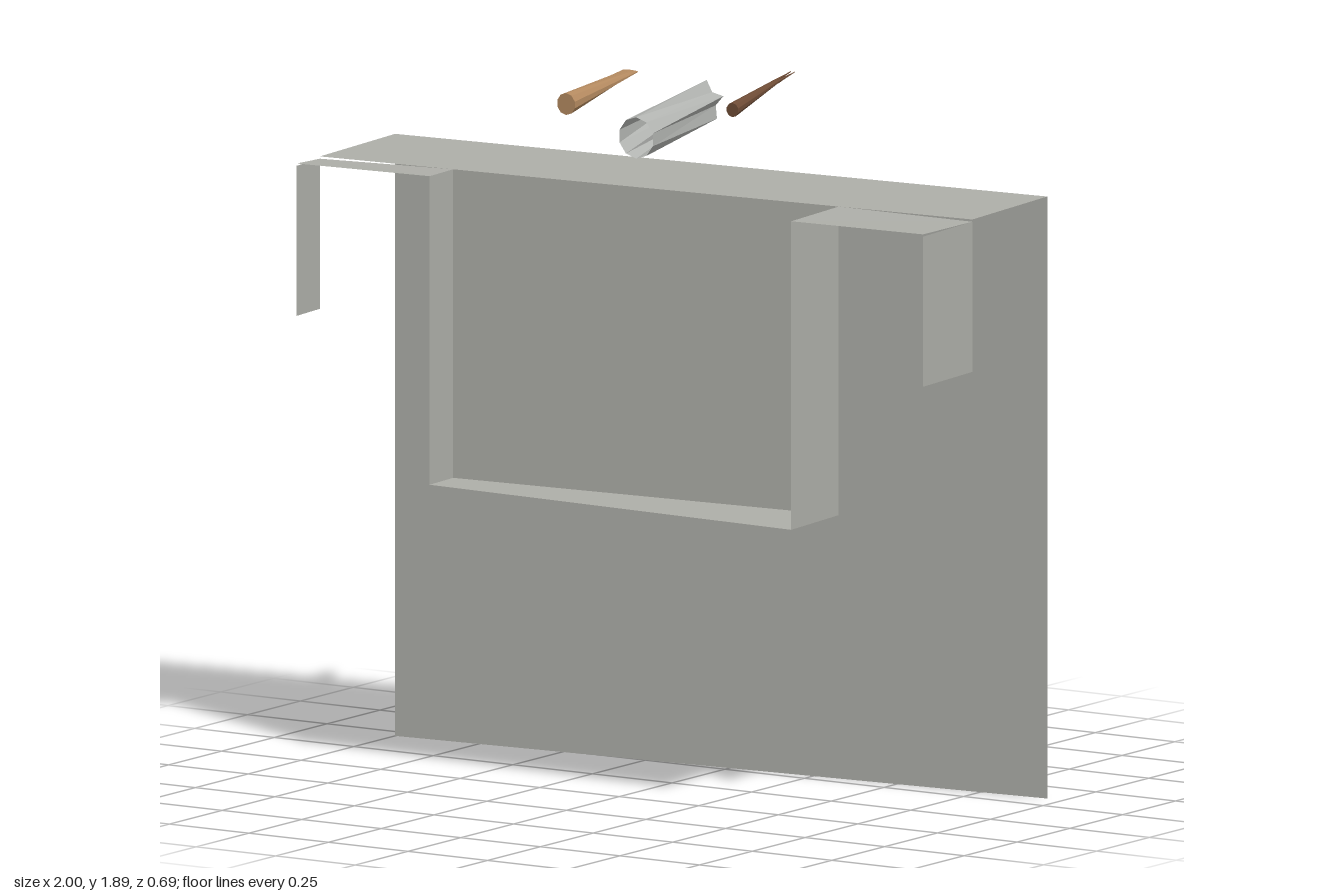
import * as THREE from 'three';

const mat = (name, color) => {
  const m = new THREE.MeshStandardMaterial({ color, flatShading: true, side: THREE.DoubleSide });
  m.name = name;
  return m;
};

// flat four-cornered sheet
function sheet(name, corners, material) {
  const [a, b, c, d] = corners;
  const g = new THREE.BufferGeometry();
  g.setAttribute('position', new THREE.Float32BufferAttribute([a, b, c, a, c, d].flat(), 3));
  g.computeVertexNormals();
  const mesh = new THREE.Mesh(g, material);
  mesh.name = name;
  return mesh;
}

// surface between a front and a back ring, optionally capped
function loft(name, sides, front, back, capped, material) {
  const pos = [];
  const mean = (ring) => [0, 1, 2].map((k) => ring.reduce((s, p) => s + p[k], 0) / sides);
  const ringOf = (f) => Array.from({ length: sides }, (_, i) => f(i, (i / sides) * Math.PI * 2));
  const F = ringOf(front), B = ringOf(back);
  const fc = mean(F), bc = mean(B);
  for (let i = 0; i < sides; i++) {
    const j = (i + 1) % sides;
    pos.push(...F[i], ...B[j], ...F[j], ...F[i], ...B[i], ...B[j]);
    if (capped) pos.push(...fc, ...F[i], ...F[j], ...bc, ...B[j], ...B[i]);
  }
  const g = new THREE.BufferGeometry();
  g.setAttribute('position', new THREE.Float32BufferAttribute(pos, 3));
  g.computeVertexNormals();
  const mesh = new THREE.Mesh(g, material);
  mesh.name = name;
  return mesh;
}

const ellipse = (x, y, z, rx, ry) => (i, a) => [x + rx * Math.sin(a), y + ry * Math.cos(a), z];

export function createModel() {
  const group = new THREE.Group();
  const stone = mat('warmGrey', 0xadaea8);
  const metal = mat('metalGrey', 0xb2b4b1);
  const tan = mat('tanWood', 0xb48a60);
  const brown = mat('darkWood', 0x6e4c36);

  const top = 1.6, floor = 0.78, droop = 1.594, flapEnd = 1.195;
  const at = ([x, z], y) => [x, y, z];
  const wall = (name, p, q, y0, y1) =>
    group.add(sheet(name, [at(p, y0), at(q, y0), at(q, y1), at(p, y1)], stone));

  // plan points (x, z), left is +x
  const backR = [-1, -0.195], backL = [0.95, -0.345];
  const hingeR = [-0.974, 0.2], hingeL = [0.98, 0.055];
  const frontR = [-0.965, 0.323], frontL = [0.998, 0.315];
  const notchR = [-0.575, 0.17], notchL = [0.58, 0.085];
  const lipR = [-0.568, 0.292], lipL = [0.6, 0.34];

  // back panel and top
  wall('backPanel', backR, backL, 0, top);
  group.add(sheet('topPanel', [at(backR, top), at(hingeR, top), at(hingeL, top), at(backL, top)], stone));

  // front wings of the top with hanging side flaps
  const wings = [['right', hingeR, frontR, lipR, notchR], ['left', hingeL, frontL, lipL, notchL]];
  for (const [side, hinge, front, lip, notch] of wings) {
    group.add(sheet(side + 'Wing', [at(hinge, droop), at(front, top), at(lip, top), at(notch, top)], stone));
    wall(side + 'Flap', hinge, front, flapEnd, droop);
    wall(side + 'RecessSide', notch, lip, floor, top);
  }

  // recess
  wall('recessBack', notchR, notchL, floor, top);
  group.add(sheet('recessFloor', [notchR, lipR, lipL, notchL].map((p) => at(p, floor)), stone));

  // open metal tube, pinched into a star at the back
  group.add(loft('metalTube', 10,
    ellipse(0.02, 1.745, 0.2, 0.055, 0.055),
    (i, a) => {
      const r = i % 2 ? 0.03 : 0.055;
      return [-0.004 + r * Math.sin(a), 1.788 + r * Math.cos(a), -0.17];
    }, false, metal));

  // tan handle flattened to a chisel edge
  group.add(loft('tanChisel', 10,
    ellipse(-0.26, 1.795, 0.11, 0.029, 0.029),
    ellipse(-0.285, 1.831, -0.232, 0.025, 0.003), true, tan));

  // dark handle tapering to a forked point
  group.add(loft('darkHandle', 10,
    ellipse(0.286, 1.837, 0.145, 0.019, 0.019),
    ellipse(0.266, 1.876, -0.09, 0.009, 0.006), true, brown));
  for (const s of [-1, 1]) {
    group.add(loft('darkTip', 5,
      ellipse(0.266 + s * 0.005, 1.876, -0.09, 0.004, 0.005),
      ellipse(0.26 + s * 0.006, 1.889, -0.18, 0.001, 0.001), true, brown));
  }

  return group;
}
